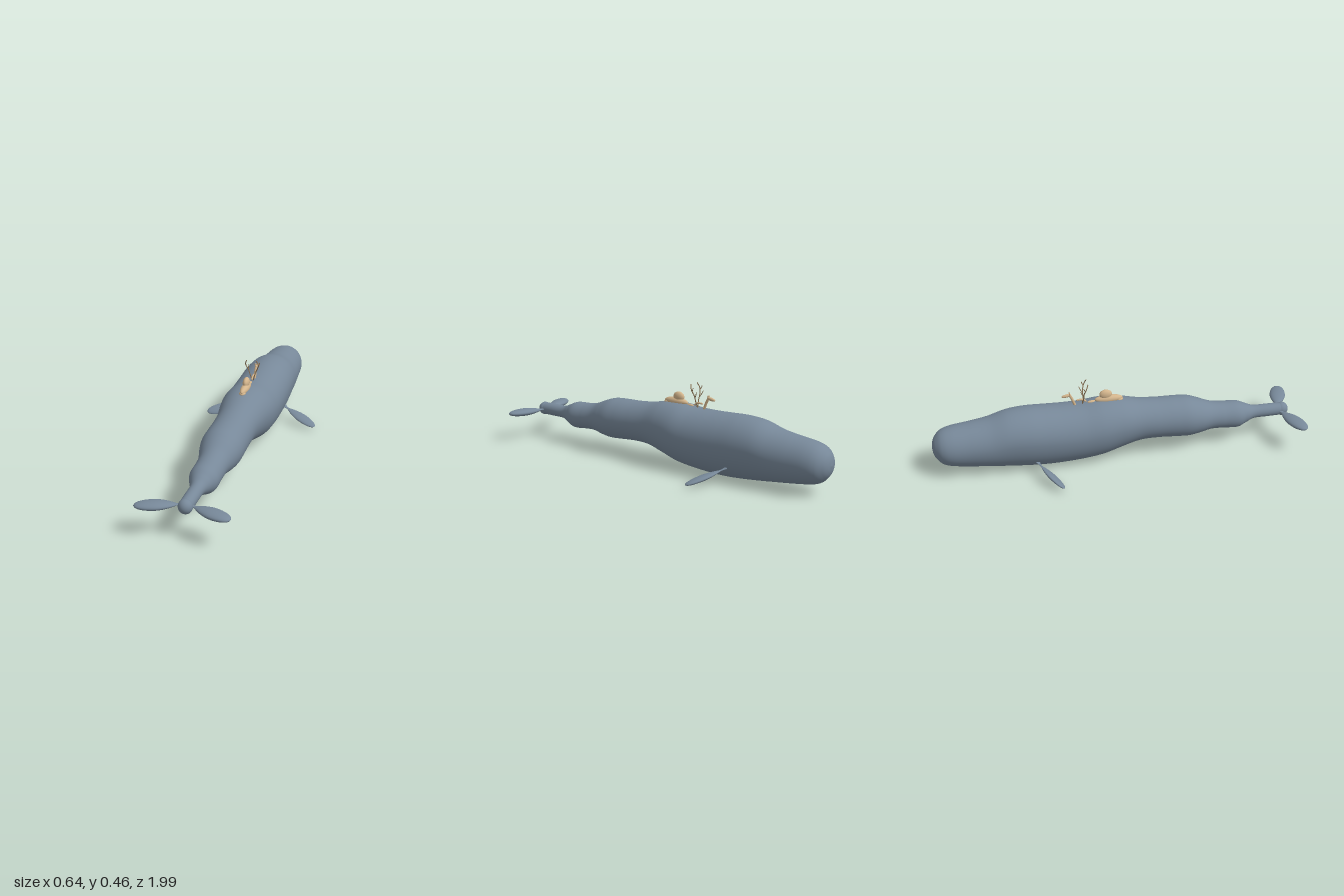
import * as THREE from 'three';
import { ParametricGeometry } from 'three/addons/geometries/ParametricGeometry.js';

const V = (x, y, z) => new THREE.Vector3(x, y, z);

export function createModel() {
  const group = new THREE.Group();
  const slate = new THREE.MeshStandardMaterial({ name: 'slate skin', color: 0x778899 });
  const tan = new THREE.MeshStandardMaterial({ name: 'tan hide', color: 0xd2b48c });
  const brown = new THREE.MeshStandardMaterial({ name: 'antler brown', color: 0x8b7355 });

  function add(name, geometry, material) {
    const mesh = new THREE.Mesh(geometry, material);
    mesh.name = name;
    group.add(mesh);
    return mesh;
  }

  function ellipsoid(name, c, r, material) {
    const mesh = add(name, new THREE.SphereGeometry(1, 32, 20), material);
    mesh.position.set(...c);
    mesh.scale.set(...r);
    return mesh;
  }

  function tube(name, points, radius, material) {
    const curve = new THREE.CatmullRomCurve3(points);
    add(name, new THREE.TubeGeometry(curve, 16, radius, 8), material);
    const end = points[points.length - 1];
    ellipsoid(name + 'Tip', end.toArray(), [radius, radius, radius], material);
  }

  // Body sections: z, half width, top, bottom
  const sections = [
    [-1.0, 0.002, 0.167, 0.163], [-0.994, 0.035, 0.200, 0.130], [-0.98, 0.062, 0.227, 0.103],
    [-0.95, 0.091, 0.255, 0.073], [-0.9, 0.108, 0.271, 0.057], [-0.8, 0.118, 0.284, 0.042],
    [-0.7, 0.128, 0.300, 0.030], [-0.6, 0.138, 0.329, 0.018], [-0.5, 0.145, 0.338, 0.009],
    [-0.4, 0.147, 0.335, 0.004], [-0.3, 0.148, 0.332, 0.007], [-0.2, 0.148, 0.334, 0.015],
    [-0.1, 0.146, 0.345, 0.030], [0.0, 0.131, 0.340, 0.060], [0.1, 0.113, 0.320, 0.086],
    [0.2, 0.110, 0.310, 0.090], [0.3, 0.111, 0.307, 0.083], [0.37, 0.110, 0.302, 0.079],
    [0.43, 0.098, 0.283, 0.086], [0.5, 0.079, 0.255, 0.099], [0.57, 0.075, 0.244, 0.097],
    [0.65, 0.074, 0.239, 0.091], [0.7, 0.055, 0.220, 0.110], [0.75, 0.037, 0.202, 0.129],
    [0.83, 0.035, 0.200, 0.130], [0.92, 0.034, 0.199, 0.131],
  ];
  const widths = new THREE.CatmullRomCurve3(sections.map(s => V(s[0], s[1], 0)), false, 'catmullrom');
  const heights = new THREE.CatmullRomCurve3(sections.map(s => V(s[0], s[2], s[3])), false, 'catmullrom');
  const w = V(0, 0, 0), h = V(0, 0, 0);
  // Round back, deeper elliptical belly
  const body = new ParametricGeometry((u, v, target) => {
    widths.getPoint(u, w);
    heights.getPoint(u, h);
    const a = v * Math.PI * 2, s = Math.sin(a);
    const half = w.y, centre = h.y - half;
    target.set(half * Math.cos(a), centre - s * (s < 0 ? half : centre - h.z), w.x);
  }, 125, 64);
  add('body', body, slate);
  ellipsoid('tailHub', [0, 0.164, 0.912], [0.036, 0.037, 0.036], slate);

  // Flattened leaf with a narrow, flared root
  const outline = [[0.5, 0], [0.28, 0.06], [0.22, 0.13], [0.4, 0.2], [0.7, 0.32], [0.93, 0.47],
    [1, 0.6], [0.93, 0.75], [0.75, 0.87], [0.45, 0.96], [0, 1]];
  const leaf = new THREE.SplineCurve(outline.map(p => new THREE.Vector2(...p))).getPoints(40)
    .map(p => p.set(Math.max(p.x, 0), p.y));
  function blade(name, root, tip, chord, thickness, normal) {
    const along = tip.clone().sub(root), length = along.length();
    along.normalize();
    const across = along.clone().cross(normal).normalize();
    const up = across.clone().cross(along);
    const geometry = new THREE.LatheGeometry(leaf, 32);
    geometry.scale(chord / 2, length, thickness / 2);
    geometry.applyMatrix4(new THREE.Matrix4().makeBasis(across, along, up).setPosition(root));
    add(name, geometry, slate);
  }
  blade('leftFlipper', V(0.115, 0.08, -0.462), V(0.318, 0.022, -0.358), 0.068, 0.026, V(0, 1, 0.1));
  blade('rightFlipper', V(-0.115, 0.07, -0.462), V(-0.318, 0.032, -0.358), 0.068, 0.026, V(0, 1, 0.8));
  for (const side of [-1, 1]) {
    const name = side > 0 ? 'left' : 'right';
    blade(name + 'Fluke', V(side * 0.015, 0.164, 0.895), V(side * 0.235, 0.163, 0.972),
      0.086, 0.04, V(0, 1, 0));

    // Antler with a curved beam and short tines
    const p = (x, y, z) => V(side * x, y, z);
    tube(name + 'AntlerBeam', [p(0.003, 0.335, -0.2), p(0.013, 0.37, -0.195), p(0.024, 0.4, -0.195),
      p(0.036, 0.428, -0.187), p(0.034, 0.445, -0.18), p(0.028, 0.458, -0.175)], 0.0026, brown);
    tube(name + 'AntlerLowTine', [p(0.018, 0.385, -0.195), p(0.025, 0.402, -0.205),
      p(0.03, 0.42, -0.213)], 0.002, brown);
    tube(name + 'AntlerHighTine', [p(0.034, 0.423, -0.189), p(0.038, 0.433, -0.194),
      p(0.039, 0.442, -0.198)], 0.002, brown);
    ellipsoid(name + 'Ear', [side * 0.006, 0.402, -0.268], [0.003, 0.006, 0.003], tan);
  }

  // Rider's rump, back and shoulders
  ellipsoid('rump', [0, 0.374, -0.076], [0.0175, 0.028, 0.034], tan);
  ellipsoid('back', [0, 0.348, -0.06], [0.022, 0.022, 0.075], tan);
  ellipsoid('tailEnd', [0, 0.34, -0.005], [0.017, 0.012, 0.022], tan);
  ellipsoid('shoulder', [0, 0.338, -0.15], [0.008, 0.009, 0.024], tan);
  tube('foreLimb', [V(0, 0.345, -0.18), V(0, 0.358, -0.2), V(0, 0.358, -0.228)], 0.005, tan);
  // Rider's neck and head
  tube('neck', [V(0, 0.33, -0.24), V(0, 0.365, -0.254), V(0, 0.393, -0.268)], 0.007, tan);
  const head = ellipsoid('head', [0, 0.39, -0.285], [0.008, 0.009, 0.026], tan);
  head.rotation.x = -0.2;

  return group;
}
